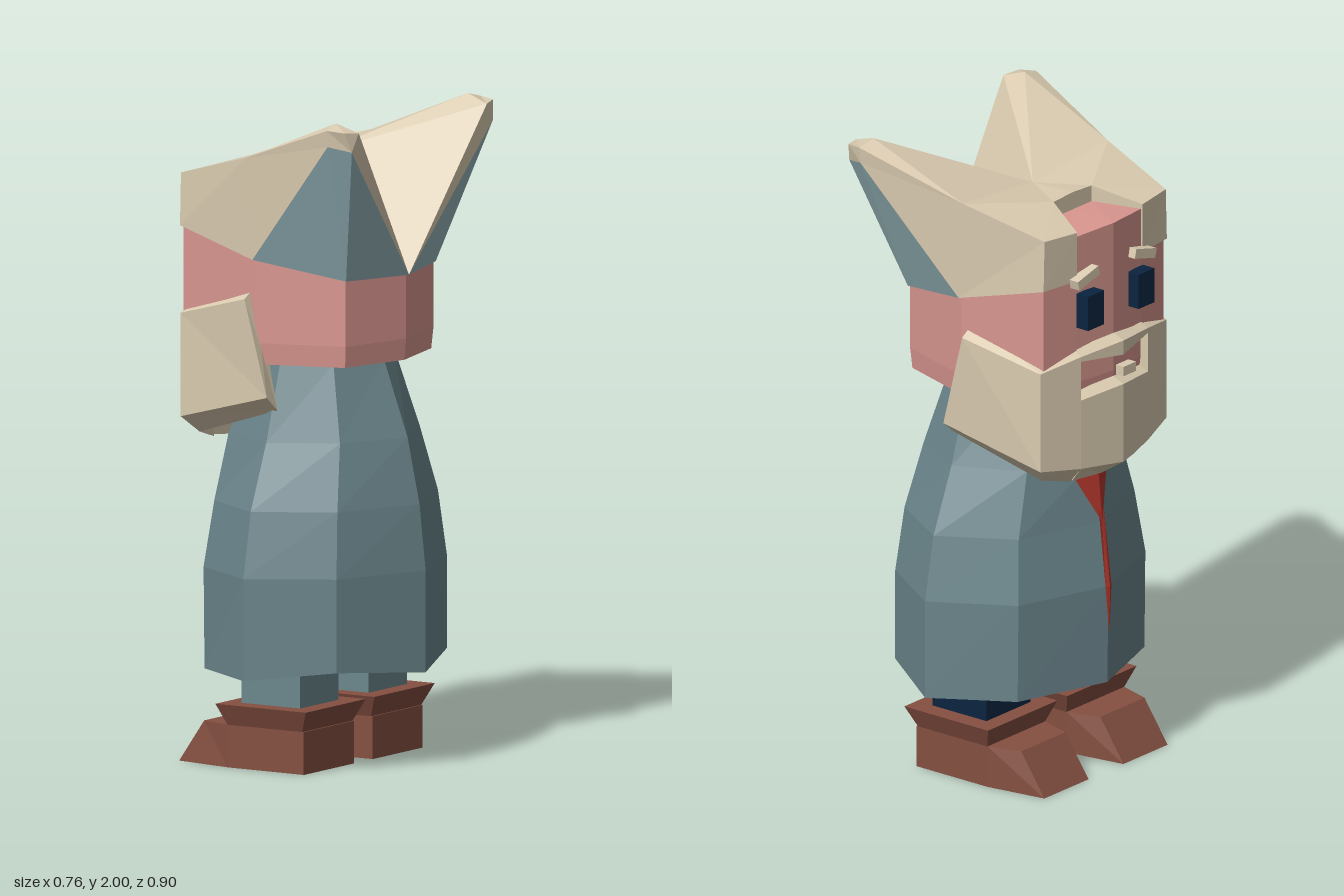
import * as THREE from 'three';

const mat = (name, color) => Object.assign(
  new THREE.MeshStandardMaterial({ color, flatShading: true, side: THREE.DoubleSide }), { name });

// Flat polygons, each given as a loop of [x, y, z] corners
function polyGeo(polys) {
  const pos = [];
  for (const p of polys)
    for (let i = 1; i < p.length - 1; i++) pos.push(...p[0], ...p[i], ...p[i + 1]);
  const g = new THREE.BufferGeometry();
  g.setAttribute('position', new THREE.Float32BufferAttribute(pos, 3));
  g.computeVertexNormals();
  return g;
}

const mid = (r) => [0, 1, 2].map((k) => r.reduce((s, p) => s + p[k], 0) / r.length);
const flipZ = ([x, y, z]) => [x, y, -z];
const mirrorPolys = (polys) => [...polys, ...polys.map((p) => p.map(flipZ).reverse())];

// Closed skin through a list of rings, turned so that it faces outwards
function loft(rings) {
  const polys = [];
  const n = rings[0].length;
  for (let r = 0; r < rings.length - 1; r++)
    for (let i = 0; i < n; i++) {
      const j = (i + 1) % n;
      polys.push([rings[r][i], rings[r][j], rings[r + 1][j], rings[r + 1][i]]);
    }
  const a = rings[0], b = rings[rings.length - 1], ca = mid(a), cb = mid(b);
  for (let i = 0; i < n; i++) {
    const j = (i + 1) % n;
    polys.push([a[j], a[i], ca], [b[i], b[j], cb]);
  }
  let vol = 0;
  const v = (p) => new THREE.Vector3(...p);
  for (const p of polys)
    for (let i = 1; i < p.length - 1; i++) vol += v(p[0]).dot(v(p[i]).cross(v(p[i + 1])));
  return polyGeo(vol < 0 ? polys.map((p) => [...p].reverse()) : polys);
}

// Half outline in x, z (first and last on the centre line) made into a whole loop
const wholeLoop = (half) => [...half, ...half.slice(1, -1).reverse().map(flipZ)];

export function createModel() {
  const model = new THREE.Group();
  const robeTeal = mat('robe teal', 0x6b868c);
  const hatTeal = mat('pale teal', 0x9ab9be);
  const tan = mat('tan', 0xdacbb0);
  const skin = mat('pink skin', 0xd9968f);
  const brown = mat('brown leather', 0x855041);
  const navy = mat('navy', 0x0b2440);
  const red = mat('red', 0xb0362b);

  const add = (name, geo, material) => {
    const m = new THREE.Mesh(geo, material);
    m.name = name;
    model.add(m);
    return m;
  };
  const box = (name, w, h, d, x, y, z, material) => {
    const m = add(name, new THREE.BoxGeometry(w, h, d), material);
    m.position.set(x, y, z);
    return m;
  };

  // Robe: eight-sided rings given as [y, front x, back x, half width]
  const cx = 0.02;
  const robeRings = [
    [0.29, -0.32, 0.38, 0.45], [0.6, -0.325, 0.38, 0.45], [0.8, -0.295, 0.358, 0.41],
    [1.0, -0.275, 0.315, 0.325], [1.23, -0.17, 0.23, 0.25],
  ].map(([y, f, b, w], i) => wholeLoop([
    [b, y, 0],
    [cx + 0.66 * (b - cx), i ? y : y + 0.025, 0.67 * w],
    [cx, y, w],
    [cx - 0.7 * (cx - f), y, 0.67 * w],
    [f, y, 0],
  ]));
  add('robe', loft(robeRings), robeTeal);

  // Red shirt showing in the neck opening, and the thin strip below it
  add('shirtFront', polyGeo(mirrorPolys([
    [[-0.301, 0.8, 0], [-0.282, 1.0, 0], [-0.241, 1.0, 0.1]],
    [[-0.282, 1.0, 0], [-0.215, 1.15, 0], [-0.175, 1.15, 0.12], [-0.241, 1.0, 0.1]],
    [[-0.331, 0.6, 0], [-0.301, 0.8, 0], [-0.296, 0.85, 0.012], [-0.325, 0.6, 0.014]],
    [[-0.328, 0.45, 0], [-0.331, 0.6, 0], [-0.325, 0.6, 0.014]],
  ])), red);

  // Legs and boots
  for (const s of [1, -1]) {
    const side = s > 0 ? 'left' : 'right';
    const zc = 0.188 * s;
    box(side + 'Leg', 0.21, 0.24, 0.21, 0.015, 0.26, zc,
      [robeTeal, navy, robeTeal, robeTeal, robeTeal, navy]);

    const slice = (x, top, w) =>
      [[x[0], 0, zc - w], [x[0], 0, zc + w], [x[1], top, zc + w], [x[1], top, zc - w]];
    add(side + 'Boot', loft([
      slice([-0.315, -0.225], 0.13, 0.105),
      slice([-0.12, -0.12], 0.13, 0.137),
      slice([0.155, 0.155], 0.13, 0.137),
    ]), brown);

    const cuff = (y, x0, x1, w) =>
      [[x0, y, zc - w], [x1, y, zc - w], [x1, y, zc + w], [x0, y, zc + w]];
    add(side + 'BootCuff', loft([
      cuff(0.13, -0.12, 0.15, 0.137), cuff(0.195, -0.145, 0.18, 0.165),
    ]), brown);
  }

  // Head: [x, half width, top height] round the outline, back to front
  const outline = [[0.31, 0, 1.5], [0.25, 0.24, 1.51], [-0.02, 0.325, 1.57],
    [-0.305, 0.285, 1.64], [-0.325, 0.155, 1.77], [-0.345, 0, 1.775]];
  const ring = (y, s) => wholeLoop(outline.map(([x, z, t]) => [x * s, y ?? t, z * s]));
  add('head', loft([ring(1.235, 0.98), ring(1.3, 1), ring(null, 1)]), skin);
  add('forehead', polyGeo(mirrorPolys([
    [[-0.345, 1.775, 0], [-0.325, 1.77, 0.155], [-0.175, 1.78, 0.1], [-0.175, 1.78, 0]],
  ])), skin);

  // Hat with two horns: one half, then mirrored
  const A = [-0.03, 1.83, 0], K = [0.32, 1.495, 0], C = [0.255, 1.5, 0.245],
    S = [-0.02, 1.555, 0.34], F = [-0.312, 1.63, 0.293], N = [-0.04, 1.865, 0.345],
    P = [-0.312, 1.79, 0.288], Q = [-0.33, 1.785, 0.155], R = [-0.185, 1.83, 0.09],
    Ql = [-0.33, 1.63, 0.155], Rl = [-0.185, 1.77, 0.09];
  const T1 = [0.295, 2.0, 0.36], T2 = [0.3, 1.985, 0.42], T3 = [0.355, 1.98, 0.405],
    T4 = [0.37, 1.975, 0.35], L2 = [0.3, 1.935, 0.415], L3 = [0.368, 1.92, 0.385];
  add('hat', polyGeo(mirrorPolys([
    [K, A, T4], [T4, A, T1], [T1, A, N], [T1, N, T2],
    [T1, T2, T3, T4], [T2, L2, L3, T3], [T3, L3, T4], [K, T4, L3],
    [N, S, L2], [N, L2, T2], [N, P, F, S],
    [N, A, R], [N, R, P], [P, R, Q], [P, Q, Ql, F], [Q, R, Rl, Ql],
    [R, A, [-0.185, 1.835, 0]], [R, [-0.185, 1.835, 0], [-0.185, 1.77, 0], Rl],
  ])), tan);
  add('hatLining', polyGeo(mirrorPolys([[S, C, L2], [C, L3, L2], [C, K, L3]])), hatTeal);

  // Eyes and brows
  for (const s of [1, -1]) {
    const side = s > 0 ? 'left' : 'right';
    box(side + 'Eye', 0.045, 0.11, 0.075, -0.352, 1.535, 0.12 * s, navy);
    box(side + 'Brow', 0.035, 0.03, 0.1, -0.342, 1.64, 0.135 * s, tan).rotation.x = 0.25 * s;
  }

  // Beard: slices of [outer x, outer z, top, bottom, inner x, inner z, inner drop]
  const slice = ([x, z, t, b, xi, zi, d], xb = x, zb = z) =>
    [[x, t, z], [xb, b, zb], [xi + xb - x, b - d, zi], [xi, t + 0.035, zi]];
  const cheek = [
    slice([-0.042, 0.35, 1.435, 1.14, -0.04, 0.29, 0.045], 0.035, 0.345),
    slice([-0.305, 0.3, 1.365, 1.05, -0.27, 0.25, 0.05]),
    slice([-0.348, 0.16, 1.39, 1.03, -0.29, 0.14, 0.06]),
  ];
  add('leftBeard', loft(cheek), tan);
  add('rightBeard', loft(cheek.map((r) => r.map(flipZ))), tan);

  const front = (t, b, d) => [0.16, 0, -0.16].map((z) =>
    slice([z ? -0.348 : -0.383, z, t + (z ? -0.015 : 0), b + (z ? 0.015 : 0),
      -0.3, z * 0.9, d]));
  add('moustache', loft(front(1.405, 1.36, 0)), tan);
  add('chinBeard', loft(front(1.265, 1.015, 0.055)), tan);
  box('lip', 0.03, 0.03, 0.06, -0.36, 1.3, 0.04, tan);

  return model;
}
